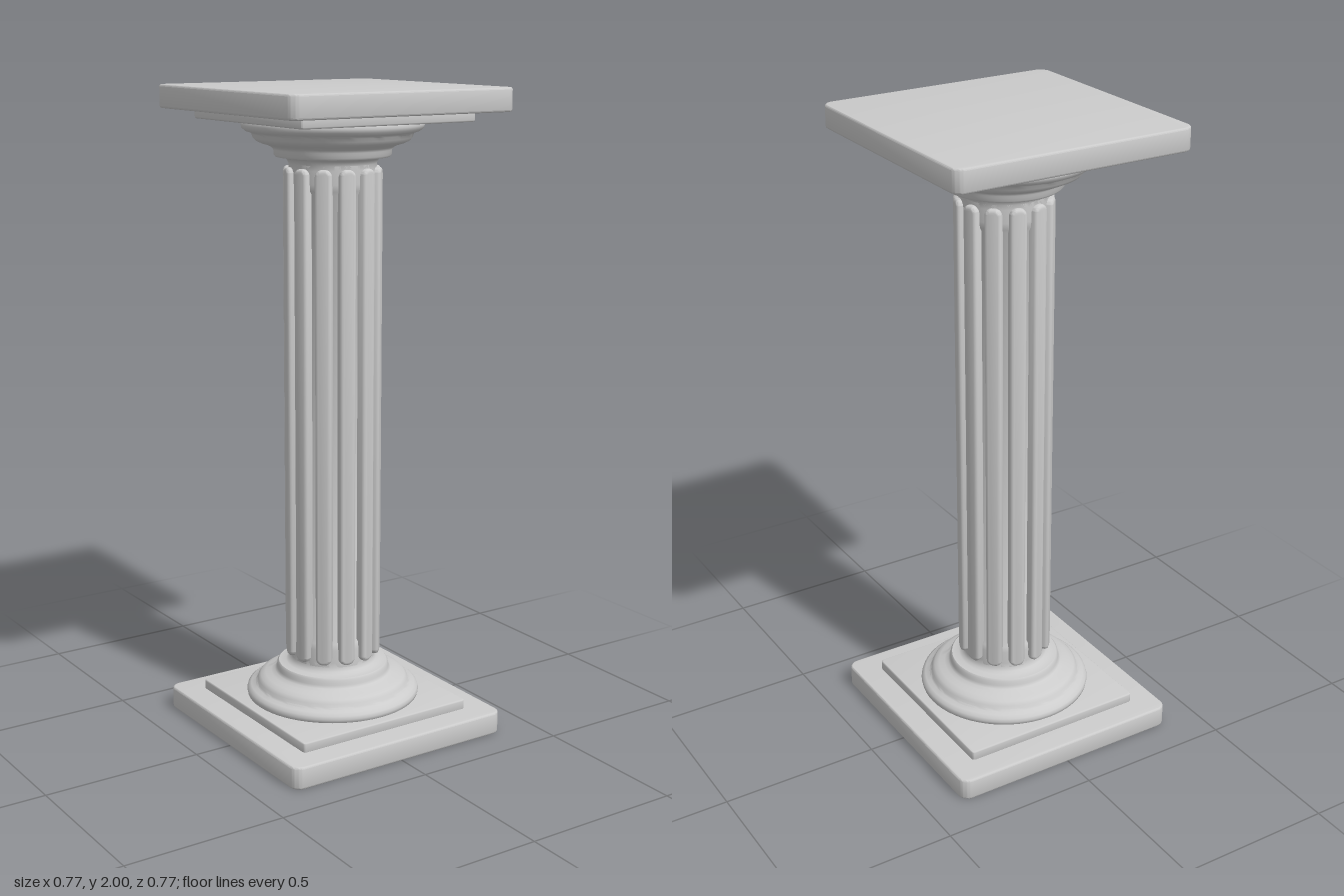
import * as THREE from 'three';
import { toCreasedNormals } from 'three/addons/utils/BufferGeometryUtils.js';

const material = new THREE.MeshStandardMaterial({ color: 0xcccccc });

function roundedRect(halfW, halfH, r) {
  const s = new THREE.Shape();
  s.absarc(halfW - r, halfH - r, r, 0, Math.PI / 2);
  s.absarc(-halfW + r, halfH - r, r, Math.PI / 2, Math.PI);
  s.absarc(-halfW + r, -halfH + r, r, Math.PI, Math.PI * 1.5);
  s.absarc(halfW - r, -halfH + r, r, Math.PI * 1.5, Math.PI * 2);
  s.closePath();
  return s;
}

// Rounded block with softened rims, running from z = 0 to z = depth
function softBlock(halfW, halfH, depth, corner, bevel) {
  const geo = new THREE.ExtrudeGeometry(roundedRect(halfW - bevel, halfH - bevel, corner - bevel), {
    depth: depth - 2 * bevel, bevelEnabled: true, bevelSize: bevel,
    bevelThickness: bevel, bevelSegments: 3, curveSegments: 6,
  });
  geo.translate(0, 0, bevel);
  return toCreasedNormals(geo, 0.7);
}

function addMesh(parent, name, geo) {
  const mesh = new THREE.Mesh(geo, material);
  mesh.name = name;
  parent.add(mesh);
  return mesh;
}

function slab(half, y0, y1, corner, bevel) {
  return softBlock(half, half, y1 - y0, corner, bevel).rotateX(-Math.PI / 2).translate(0, y0, 0);
}

function lathe(points) {
  const geo = new THREE.LatheGeometry(points.map(([r, y]) => new THREE.Vector2(r, y)), 64);
  return toCreasedNormals(geo, 0.75);
}

// Square plinth, step and turned moulding; used at both ends
function makeEnd(name) {
  const end = new THREE.Group();
  end.name = name;
  addMesh(end, 'plinth', slab(0.385, 0, 0.07, 0.035, 0.006));
  addMesh(end, 'step', slab(0.302, 0.066, 0.1, 0.012, 0.005));
  addMesh(end, 'moulding', lathe([
    [0, 0.095], [0.264, 0.095], [0.271, 0.101], [0.273, 0.111], [0.27, 0.121], [0.26, 0.129],
    [0.246, 0.133], [0.241, 0.138], [0.238, 0.148], [0.229, 0.158], [0.214, 0.165],
    [0.196, 0.17], [0.184, 0.176], [0.177, 0.184], [0.176, 0.19],
    [0.176, 0.199], [0.171, 0.205], [0.148, 0.207], [0.138, 0.213], [0.132, 0.225], [0.132, 0.24],
  ]));
  return end;
}

export function createModel() {
  const model = new THREE.Group();
  model.name = 'column';

  model.add(makeEnd('base'));
  const capital = makeEnd('capital');
  capital.rotation.x = Math.PI;
  capital.position.y = 2;
  model.add(capital);

  // Core, slightly slimmer between the flute ends
  addMesh(model, 'shaftCore', lathe([
    [0.132, 0.22], [0.132, 0.28], [0.13, 0.3], [0.124, 0.31],
    [0.124, 1.69], [0.13, 1.7], [0.132, 1.72], [0.132, 1.78],
  ]));

  // Twelve raised ribs with rounded ends
  const ribs = new THREE.Group();
  ribs.name = 'ribs';
  const ribGeo = softBlock(0.025, 0.765, 0.05, 0.022, 0.01).translate(0, 1, 0.099);
  for (let i = 0; i < 12; i++) {
    addMesh(ribs, 'rib', ribGeo).rotation.y = ((i + 0.5) * Math.PI) / 6;
  }
  model.add(ribs);
  return model;
}
